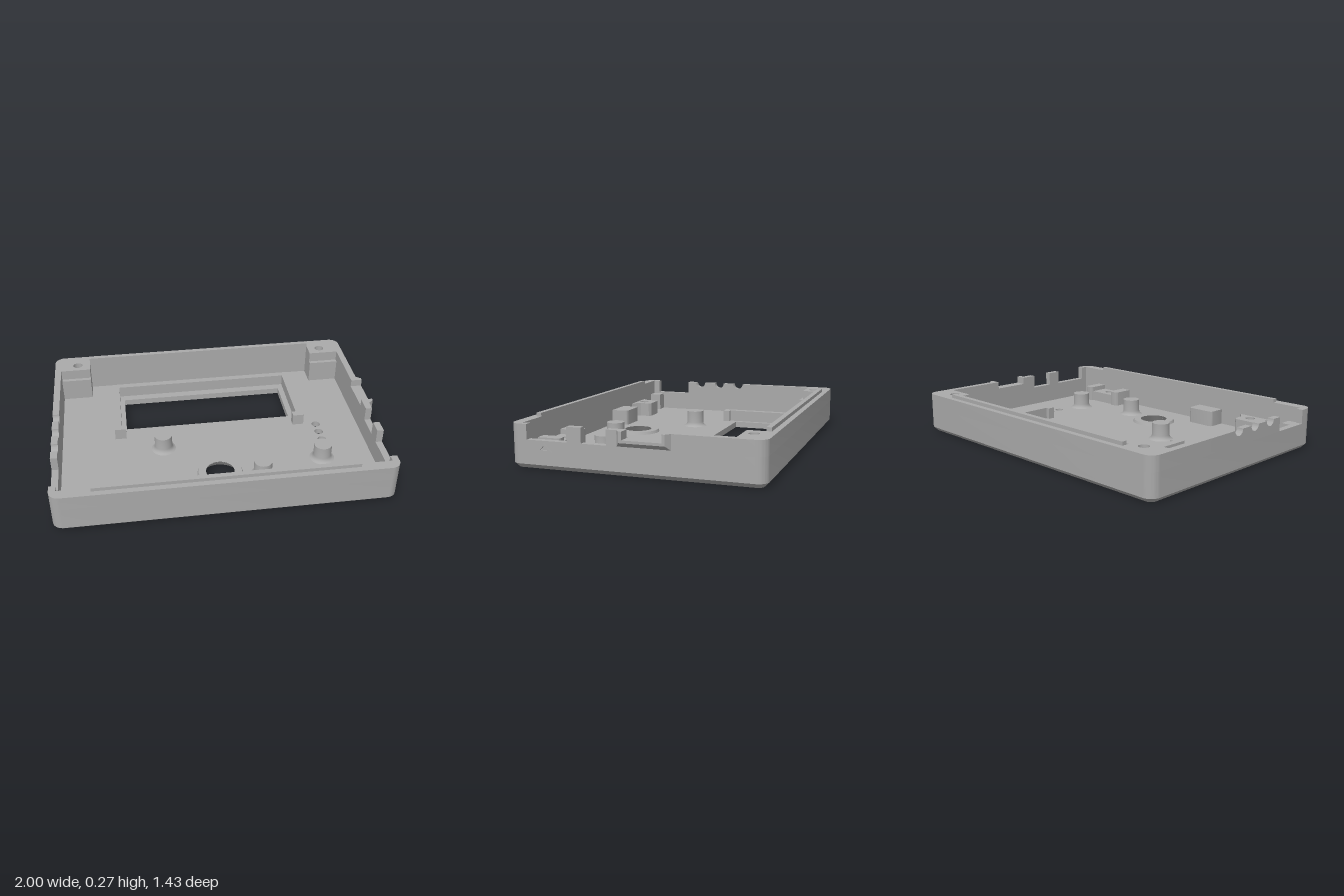
import * as THREE from 'three';
import { toCreasedNormals } from 'three/addons/utils/BufferGeometryUtils.js';

const L = -1, R = 0.97, ZB = 0.715, RAD = 0.06;    // outer footprint
const IL = -0.96, IR = 0.93, IZ = 0.652;           // inner cavity
const FLOOR = 0.038, LOW = 0.16, RIM = 0.245;      // floor, cut-out and rim heights

export function createModel() {
  const model = new THREE.Group();
  const plastic = new THREE.MeshStandardMaterial({ color: 0xaaaaaa });
  plastic.name = 'grey plastic';

  const add = (name, geo) => {
    const mesh = new THREE.Mesh(toCreasedNormals(geo, 0.5), plastic);
    mesh.name = name;
    model.add(mesh);
    return mesh;
  };
  // Plan shape (x, z) raised from y0 to y1
  const raise = (shape, y0, y1, steps = 1) =>
    new THREE.ExtrudeGeometry(shape, { depth: y1 - y0, bevelEnabled: false, steps, curveSegments: 12 })
      .rotateX(Math.PI / 2).translate(0, y1, 0);
  // Side shape (-z, y) pushed from x0 to x1
  const across = (shape, x0, x1) =>
    new THREE.ExtrudeGeometry(shape, { depth: x1 - x0, bevelEnabled: false, curveSegments: 12 })
      .rotateY(Math.PI / 2).translate(x0, 0, 0);
  const poly = pts => new THREE.Shape(pts.map(p => new THREE.Vector2(p[0], p[1])));
  const rect = (x0, x1, z0, z1) => poly([[x0, z0], [x1, z0], [x1, z1], [x0, z1]]);
  const circle = (x, z, r) => new THREE.Path().absarc(x, z, r, 0, Math.PI * 2, false);
  const box = (name, x0, x1, y0, y1, z0, z1) => add(name, raise(rect(x0, x1, z0, z1), y0, y1));
  const K = RAD * 0.4477;
  const rounded = (x0, x1, z0, z1, r) => {
    const s = new THREE.Shape(), k = r * 0.4477;
    s.moveTo(x0 + r, z0).lineTo(x1 - r, z0).bezierCurveTo(x1 - k, z0, x1, z0 + k, x1, z0 + r);
    s.lineTo(x1, z1 - r).bezierCurveTo(x1, z1 - k, x1 - k, z1, x1 - r, z1);
    s.lineTo(x0 + r, z1).bezierCurveTo(x0 + k, z1, x0, z1 - k, x0, z1 - r);
    s.lineTo(x0, z0 + r).bezierCurveTo(x0, z0 + k, x0 + k, z0, x0 + r, z0);
    return s;
  };

  // Floor with screen window, dial hole, indicator holes, screw bores and a chamfered edge
  const dial = [-0.02, 0.385];
  const screws = [[-0.85, -0.61], [0.82, -0.61], [-0.64, 0.6], [0.62, 0.6]];
  const floorShape = rounded(L, R, -ZB, ZB, RAD);
  floorShape.holes.push(rect(-0.555, 0.505, -0.455, -0.125), circle(...dial, 0.125));
  for (const z of [-0.015, 0.065, 0.145]) floorShape.holes.push(circle(0.665, z, 0.027));
  for (const [x, z] of screws) floorShape.holes.push(circle(x, z, 0.04));
  const floor = raise(floorShape, 0, FLOOR, 2);
  const p = floor.attributes.position;
  for (let i = 0; i < p.count; i++) {
    let x = p.getX(i), y = p.getY(i), z = p.getZ(i);
    if (y > 0.01 && y < FLOOR - 0.01) y = 0.025;
    const qx = THREE.MathUtils.clamp(x, L + RAD, R - RAD);
    const qz = THREE.MathUtils.clamp(z, -ZB + RAD, ZB - RAD);
    if (y < 0.01 && Math.hypot(x - qx, z - qz) > RAD * 0.95) {
      const f = (RAD - 0.025) / RAD;
      x = qx + (x - qx) * f;
      z = qz + (z - qz) * f;
    }
    const dx = x - dial[0], dz = z - dial[1];
    if (Math.hypot(dx, dz) < 0.13) {
      const f = (0.125 - 0.04 * y / 0.055) / 0.125;
      x = dial[0] + dx * f;
      z = dial[1] + dz * f;
    }
    p.setXYZ(i, x, y, z);
  }
  add('floor', floor);

  // Lower wall all round
  const wall = rounded(L, R, -ZB, ZB, RAD);
  wall.holes.push(rect(IL, IR, -IZ, IZ));
  add('lowerWall', raise(wall, FLOOR, LOW));

  // Upper front and back walls with their corner returns
  const upperWall = (s, zEnd) => {
    const w = new THREE.Shape(), Z = s * ZB;
    w.moveTo(L, zEnd).lineTo(L, Z - s * RAD).bezierCurveTo(L, Z - s * K, L + K, Z, L + RAD, Z);
    w.lineTo(R - RAD, Z).bezierCurveTo(R - K, Z, R, Z - s * K, R, Z - s * RAD);
    w.lineTo(R, zEnd).lineTo(IR, zEnd).lineTo(IR, s * IZ).lineTo(IL, s * IZ).lineTo(IL, zEnd);
    return raise(w, LOW, RIM);
  };
  add('upperFrontWall', upperWall(1, 0.61));
  add('upperBackWall', upperWall(-1, -0.18));
  for (const s of [-1, 1])
    box('sealingLip', -0.77, 0.74, RIM, 0.266, Math.min(s * IZ, s * 0.682), Math.max(s * IZ, s * 0.682));

  // Left-hand edge of the plan: rim with three half-round cable notches
  const notched = new THREE.Shape();
  notched.moveTo(-0.37, LOW).lineTo(0.18, LOW).lineTo(0.18, RIM);
  for (const u of [0.022, -0.125, -0.272]) {
    notched.lineTo(u + 0.035, RIM);
    notched.absarc(u, RIM, 0.035, 0, Math.PI, true);
  }
  notched.lineTo(-0.37, RIM);
  add('notchedWall', across(notched, L, IL));

  // Opposite rim: teeth and the socket sill
  box('wallTooth', IR, R, LOW, RIM, 0.285, 0.37);
  box('wallTooth', IR, R, LOW, RIM, 0.04, 0.14);
  box('socketSill', IR, R, LOW, 0.2, -0.18, 0.04);

  // Tapered collar round the socket
  const collar = across(poly([[-0.08, LOW], [0.22, LOW], [0.22, RIM], [0.18, RIM],
    [0.18, 0.2], [-0.04, 0.2], [-0.04, RIM], [-0.08, RIM]]), R, 1);
  const c = collar.attributes.position;
  for (let i = 0; i < c.count; i++) {
    if (c.getX(i) < 0.99) continue;
    const d = c.getZ(i) + 0.07;
    if (Math.abs(d) > 0.14) c.setZ(i, -0.07 + Math.sign(d) * 0.127);
    if (c.getY(i) < 0.17) c.setY(i, 0.185);
  }
  add('socketCollar', collar);

  // Raised triangle mark
  const mark = poly([[-0.547, 0.102], [-0.457, 0.102], [-0.502, 0.15]]);
  mark.holes.push(poly([[-0.525, 0.111], [-0.479, 0.111], [-0.502, 0.136]]));
  add('triangleMark', across(mark, R, R + 0.01));

  // Screw posts: wide bore below, thin web, narrow hole above
  const post = (name, outline, [x, z], web, top) => {
    const layer = (r, y0, y1) => {
      const s = poly(outline);
      if (r) s.holes.push(circle(x, z, r));
      add(name, raise(s, y0, y1));
    };
    layer(0.04, FLOOR, web);
    layer(0, web, web + 0.015);
    layer(0.03, web + 0.015, top);
  };
  const corners = (x0, x1, z0, z1) => [[x0, z0], [x1, z0], [x1, z1], [x0, z1]];
  post('backScrewPost', corners(IL, -0.77, -IZ, -0.55), screws[0], 0.12, RIM);
  post('backScrewPost', corners(0.74, IR, -IZ, -0.55), screws[1], 0.12, RIM);
  box('postLedge', IL, -0.77, FLOOR, 0.18, -0.55, -0.525);
  box('postLedge', 0.74, IR, FLOOR, 0.18, -0.55, -0.525);
  post('frontScrewPost', [[-0.76, IZ], [-0.735, 0.63], [-0.72, 0.6], [-0.72, 0.54], [-0.705, 0.525],
    [-0.585, 0.525], [-0.57, 0.54], [-0.57, 0.6], [-0.55, 0.63], [-0.525, IZ]], screws[2], 0.08, 0.13);
  post('frontScrewPost', corners(0.525, 0.725, 0.53, IZ), screws[3], 0.07, 0.105);
  for (const [x0, x1] of [[0.46, 0.53], [0.72, 0.785]])
    add('postCheek', raise(rounded(x0, x1, 0.515, 0.67, 0.02), FLOOR, 0.135));
  add('supportBlock', raise(rounded(-0.38, -0.195, 0.54, 0.68, 0.02), FLOOR, 0.135));
  box('cornerBlock', IL, -0.885, FLOOR, 0.15, 0.575, IZ);

  // Three-sided screen frame with inward feet
  add('screenFrame', raise(poly([[-0.63, -0.545], [0.585, -0.545], [0.585, -0.03], [0.515, -0.03],
    [0.515, -0.075], [0.54, -0.075], [0.54, -0.505], [-0.585, -0.505], [-0.585, -0.075],
    [-0.56, -0.075], [-0.56, -0.03], [-0.63, -0.03]]), FLOOR, 0.11));

  // Raised ring round the dial hole, and flared standoffs
  const lathe = pts => new THREE.LatheGeometry(pts.map(q => new THREE.Vector2(q[0], q[1])), 32);
  add('dialRing', lathe([[0.137, FLOOR], [0.13, 0.055], [0.085, 0.055], [0.0974, FLOOR]]))
    .position.set(dial[0], 0, dial[1]);
  for (const [x, z] of [[-0.335, 0.1], [0.23, 0.43], [0.62, 0.32]])
    add('standoff', lathe([[0.075, FLOOR], [0.064, 0.044], [0.057, 0.053], [0.054, 0.066], [0.054, 0.14], [0, 0.14]]))
      .position.set(x, 0, z);

  return model;
}
